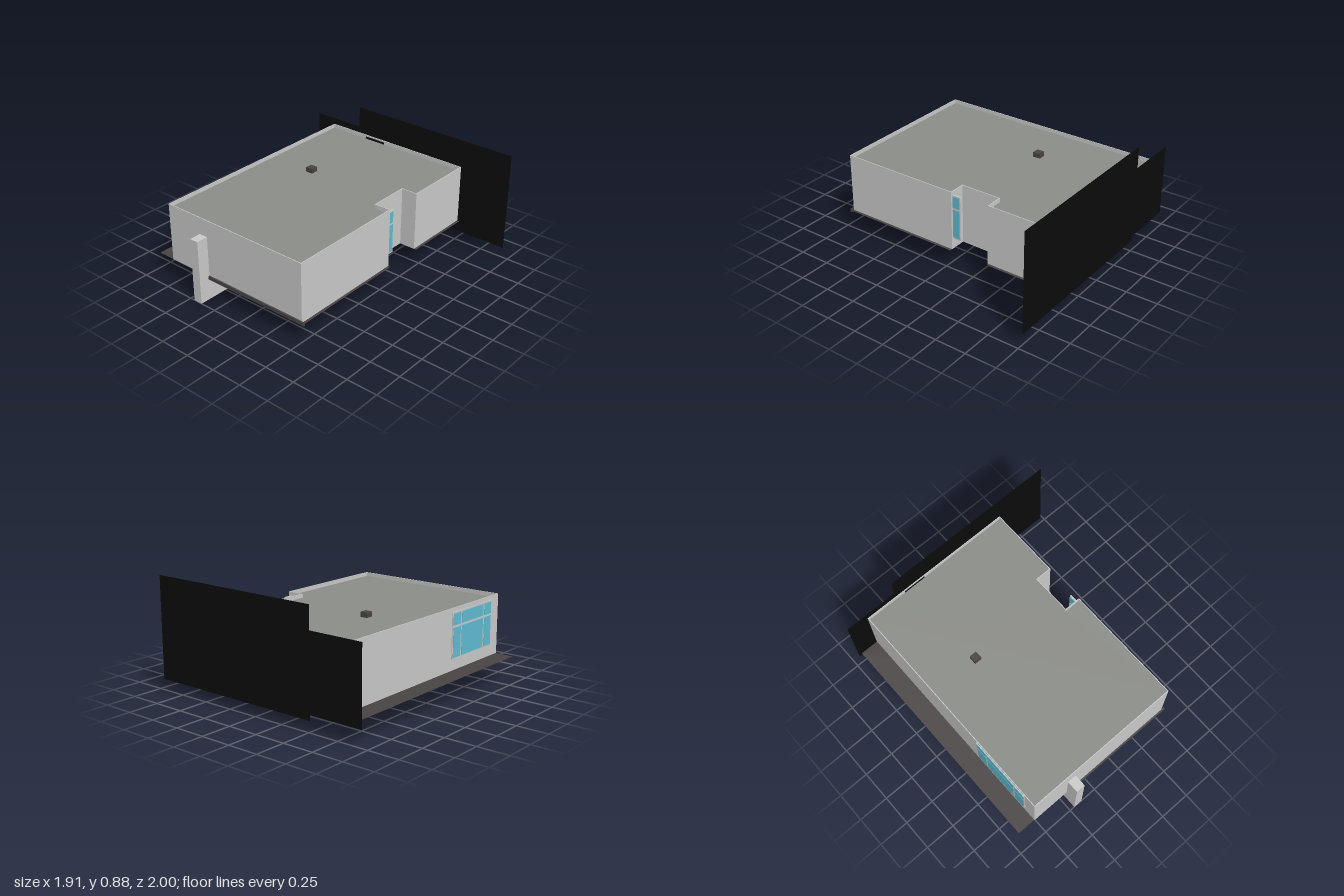
import * as THREE from 'three';

const mat = (name, color, side = THREE.FrontSide) => {
  const m = new THREE.MeshStandardMaterial({ color, side });
  m.name = name;
  return m;
};

export function createModel() {
  const group = new THREE.Group();
  const wall = mat('pale wall', 0xcacaca);
  const roofGrey = mat('roof grey', 0x8b8d88, THREE.DoubleSide);
  const dark = mat('dark deck', 0x4a4444, THREE.DoubleSide);
  const black = mat('black screen', 0x0b0b0b, THREE.DoubleSide);
  const glass = mat('blue glass', 0x5fbcd2);

  const add = (name, geometry, material, parent = group) => {
    const mesh = new THREE.Mesh(geometry, material);
    mesh.name = name;
    parent.add(mesh);
    return mesh;
  };
  // Box given by its limits on each axis
  const box = (name, material, x0, x1, y0, y1, z0, z1, parent) => {
    const g = new THREE.BoxGeometry(x1 - x0, y1 - y0, z1 - z0);
    g.translate((x0 + x1) / 2, (y0 + y1) / 2, (z0 + z1) / 2);
    return add(name, g, material, parent);
  };
  // Flat sheet with the entrance notch on its right-hand edge
  const outline = (left, right) => [
    [left, 0.9], [right, 0.9], [right, -0.07], [0.385, -0.07],
    [0.385, -0.4], [right, -0.4], [right, -0.99], [left, -0.99],
  ];
  const sheet = (name, points, y, material) => {
    const shape = new THREE.Shape(points.map(([x, z]) => new THREE.Vector2(x, z)));
    const g = new THREE.ShapeGeometry(shape).rotateX(Math.PI / 2).translate(0, y, 0);
    return add(name, g, material);
  };

  const plan = outline(-0.776, 0.517);
  sheet('floorDeck', outline(-0.93, 0.54), 0.183, dark);
  sheet('roof', plan, 0.63, roofGrey);

  // Thin walls rising past the roof as a parapet
  const walls = new THREE.Group();
  walls.name = 'walls';
  group.add(walls);
  const t = 0.003;
  plan.forEach(([x0, z0], i) => {
    const [x1, z1] = plan[(i + 1) % plan.length];
    box('wall', wall, Math.min(x0, x1) - t, Math.max(x0, x1) + t, 0.184, 0.662,
      Math.min(z0, z1) - t, Math.max(z0, z1) + t, walls);
  });

  // Front pier and the footing running under the floor
  box('pier', wall, -0.459, -0.385, 0, 0.525, 0.904, 1, group);
  box('footing', wall, -0.459, -0.385, 0, 0.182, 0.43, 0.904, group);
  box('frontSill', dark, -0.385, 0.548, 0.173, 0.2, 0.903, 0.915, group);
  box('roofVent', dark, -0.4, -0.34, 0.63, 0.668, -0.255, -0.195, group);

  // Large window in the left-hand wall: frame plate with six panes
  const window1 = new THREE.Group();
  window1.name = 'sideWindow';
  group.add(window1);
  box('windowFrame', wall, -0.785, -0.778, 0.27, 0.632, 0.27, 0.8, window1);
  for (const [z0, z1] of [[0.28, 0.375], [0.392, 0.68], [0.697, 0.79]])
    for (const [y0, y1] of [[0.282, 0.512], [0.53, 0.62]])
      box('pane', glass, -0.788, -0.784, y0, y1, z0, z1, window1);

  // Narrow window standing in the notch, glazed on both faces
  const window2 = new THREE.Group();
  window2.name = 'entranceWindow';
  group.add(window2);
  box('windowFrame', wall, 0.492, 0.504, 0.27, 0.632, -0.142, -0.07, window2);
  for (const [y0, y1] of [[0.282, 0.512], [0.53, 0.62]])
    box('pane', glass, 0.49, 0.506, y0, y1, -0.133, -0.074, window2);

  // Back door and the two tall screens behind the house
  box('backDoor', black, -0.43, -0.24, 0.185, 0.648, -0.998, -0.985, group);
  const screen = (name, x0, x1, y0, y1) => add(name,
    new THREE.PlaneGeometry(x1 - x0, y1 - y0).translate((x0 + x1) / 2, (y0 + y1) / 2, -1), black);
  screen('smallScreen', -0.953, -0.51, 0.127, 0.71);
  screen('largeScreen', -0.51, 0.953, 0.085, 0.885);

  return group;
}
